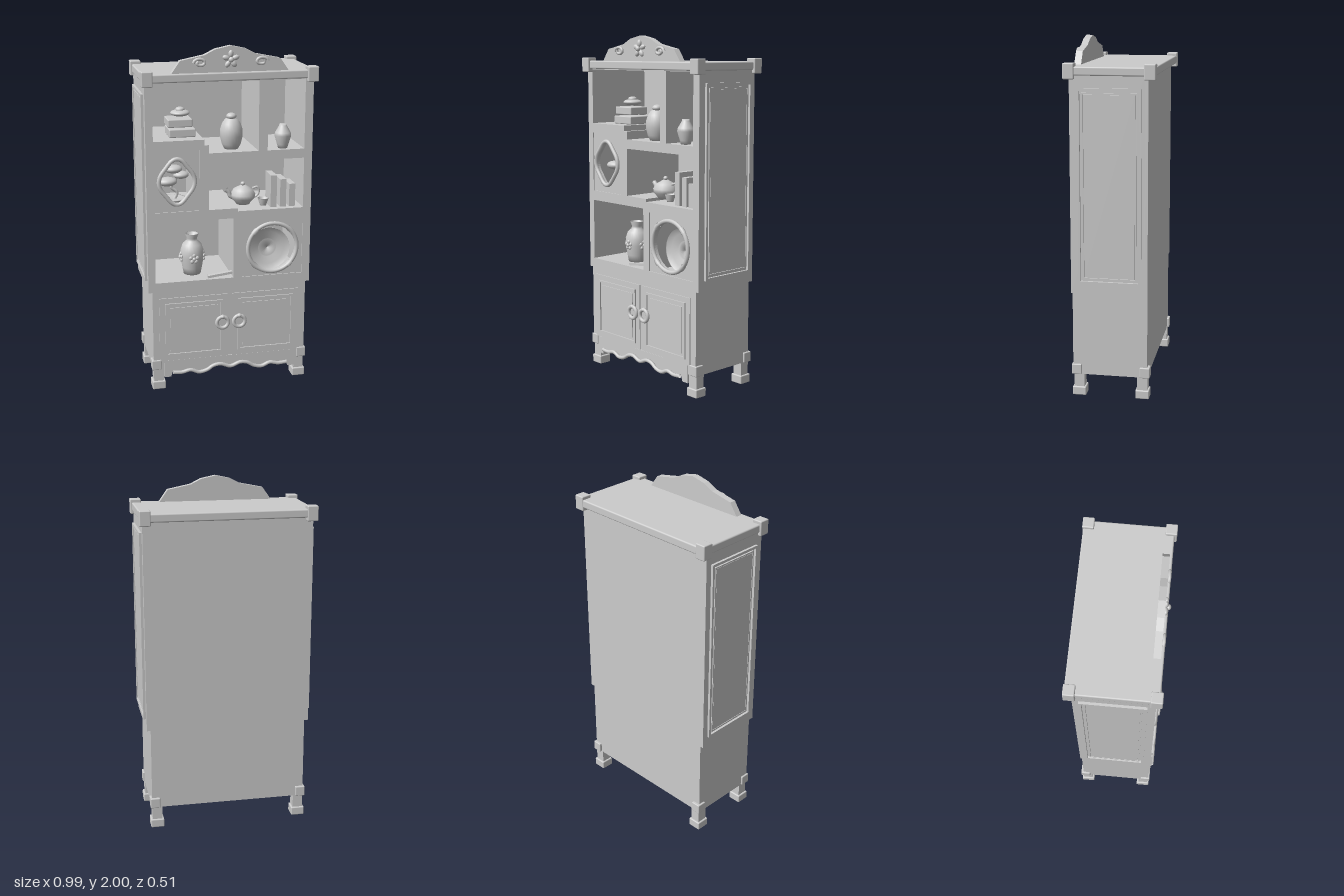
import * as THREE from 'three';
import { RoundedBoxGeometry } from 'three/addons/geometries/RoundedBoxGeometry.js';

export function createModel() {
  const model = new THREE.Group();
  model.name = 'displayCabinet';
  const grey = new THREE.MeshStandardMaterial({ color: 0xcccccc });
  grey.name = 'light grey';

  const add = (name, geometry, x = 0, y = 0, z = 0, parent = model) => {
    const mesh = new THREE.Mesh(geometry, grey);
    mesh.name = name;
    mesh.position.set(x, y, z);
    parent.add(mesh);
    return mesh;
  };
  const group = (name, x, y, z) => {
    const g = new THREE.Group();
    g.name = name;
    g.position.set(x, y, z);
    model.add(g);
    return g;
  };
  // box given by its limits
  const box = (name, x0, x1, y0, y1, z0, z1, r = 0) => add(name,
    r ? new RoundedBoxGeometry(x1 - x0, y1 - y0, z1 - z0, 2, r) : new THREE.BoxGeometry(x1 - x0, y1 - y0, z1 - z0),
    (x0 + x1) / 2, (y0 + y1) / 2, (z0 + z1) / 2);
  const vectors = (pts) => pts.map(([x, y]) => new THREE.Vector2(x, y));
  const rect = (x0, x1, y0, y1) => [[x0, y0], [x1, y0], [x1, y1], [x0, y1]];
  // flat plate cut from an outline with holes
  const plate = (name, outline, holes, z0, z1, parent = model) => {
    const shape = new THREE.Shape(vectors(outline));
    holes.forEach((h) => shape.holes.push(new THREE.Path(vectors(h))));
    return add(name, new THREE.ExtrudeGeometry(shape, { depth: z1 - z0, bevelEnabled: false }), 0, 0, z0, parent);
  };
  const frame = (name, x0, x1, y0, y1, w, z0, z1, parent) =>
    plate(name, rect(x0, x1, y0, y1), [rect(x0 + w, x1 - w, y0 + w, y1 - w)], z0, z1, parent);
  const loop = (n, fn) => Array.from({ length: n }, (_, i) => fn((i / n) * Math.PI * 2));
  const tube = (name, pts, r, closed = false, parent = model, z = 0) => {
    const path = new THREE.CatmullRomCurve3(pts.map((p) => new THREE.Vector3(p[0], p[1], p[2] || 0)), closed);
    return add(name, new THREE.TubeGeometry(path, closed ? 96 : 48, r, 8, closed), 0, 0, z, parent);
  };
  const lathe = (name, profile, x, y, z, parent = model) =>
    add(name, new THREE.LatheGeometry(vectors(profile), 24), x, y, z, parent);
  const blob = (name, x, y, z, rx, ry, rz, parent = model) => {
    const m = add(name, new THREE.SphereGeometry(1, 20, 14), x, y, z, parent);
    m.scale.set(rx, ry, rz);
    return m;
  };
  const mirrored = (pts) => [...pts, ...pts.slice(0, -1).reverse().map(([x, y]) => [-x, y])];

  // upper carcass, with the compartments cut through it
  const compartments = [
    [[-0.435, 1.487], [-0.148, 1.487], [-0.148, 1.455], [-0.122, 1.455], [-0.122, 1.408], [0.163, 1.408], [0.163, 1.805], [-0.435, 1.805]],
    rect(0.215, 0.43, 1.408, 1.805),
    rect(-0.435, -0.177, 1.08, 1.43),
    [[-0.122, 1.08], [0.045, 1.08], [0.045, 1.062], [0.43, 1.062], [0.43, 1.355], [-0.122, 1.355]],
    rect(-0.435, 0.02, 0.663, 1.022),
    rect(0.07, 0.43, 0.663, 1.005),
  ];
  plate('upperCarcass', rect(-0.477, 0.477, 0.607, 1.815), compartments, -0.19, 0.218);
  box('upperBack', -0.477, 0.477, 0.607, 1.815, -0.21, -0.19);

  // top slab and its corner blocks
  box('topSlab', -0.486, 0.486, 1.81, 1.857, -0.246, 0.236, 0.008);
  for (const x of [-0.465, 0.465]) for (const z of [-0.219, 0.219])
    add('topCornerBlock', new RoundedBoxGeometry(0.062, 0.085, 0.062, 2, 0.006), x, 1.833, z);

  // moulded side panels
  for (const s of [-1, 1]) {
    const side = group('sidePanel', s * 0.477, 0, 0);
    side.rotation.y = s * Math.PI / 2;
    frame('sideFrame', -0.175, 0.175, 0.668, 1.745, 0.014, 0, 0.014, side);
    frame('sideInnerFrame', -0.15, 0.15, 0.693, 1.72, 0.008, 0, 0.009, side);
    add('sideField', new THREE.BoxGeometry(0.28, 1.007, 0.008), 0, 1.2065, 0.004, side);
  }

  // lower cupboard with doors and ring handles
  box('lowerCupboard', -0.455, 0.455, 0.125, 0.607, -0.207, 0.215);
  for (const s of [-1, 1]) {
    const [x0, x1] = s < 0 ? [-0.418, -0.012] : [0.012, 0.412];
    box('door', x0, x1, 0.178, 0.567, 0.21, 0.221);
    frame('doorMoulding', x0 + 0.034, x1 - 0.034, 0.21, 0.535, 0.012, 0.221, 0.229);
    box('doorField', x0 + 0.062, x1 - 0.062, 0.238, 0.507, 0.221, 0.226);
    add('handleRing', new THREE.TorusGeometry(0.034, 0.011, 10, 32), s * 0.05, 0.4, 0.243);
    add('handleRose', new THREE.CylinderGeometry(0.023, 0.023, 0.014, 24), s * 0.05, 0.4, 0.227).rotation.x = Math.PI / 2;
    blob('handleKnob', s * 0.05, 0.435, 0.243, 0.014, 0.012, 0.014);
  }

  // legs, feet and lower corner blocks
  for (const x of [-1, 1]) for (const z of [-1, 1]) {
    add('leg', new THREE.BoxGeometry(0.058, 0.09, 0.058), x * 0.425, 0.085, z * 0.18);
    add('foot', new RoundedBoxGeometry(0.078, 0.05, 0.078, 2, 0.006), x * 0.425, 0.025, z * 0.18);
    add('lowerCornerBlock', new RoundedBoxGeometry(0.057, 0.06, 0.057, 2, 0.005), x * 0.437, 0.155, z * 0.194);
  }

  // scalloped apron with a wavy bead
  const wave = mirrored([[-0.345, 0.105], [-0.29, 0.102], [-0.24, 0.112], [-0.19, 0.093], [-0.14, 0.103], [-0.105, 0.125], [-0.06, 0.132], [0, 0.112]]);
  plate('apron', [[-0.395, 0.178], [-0.395, 0.075], [-0.355, 0.075], ...wave, [0.355, 0.075], [0.395, 0.075], [0.395, 0.178]], [], 0.205, 0.222);
  tube('apronBead', wave, 0.011, false, model, 0.231);

  // crest with scrolls and a flower
  plate('crest', mirrored([[-0.328, 1.857], [-0.28, 1.925], [-0.145, 1.952], [-0.085, 1.982], [0, 2]]), [], 0.182, 0.22);
  for (const s of [-1, 1]) {
    const scroll = Array.from({ length: 15 }, (_, i) => {
      const a = i * 0.5, k = 1 - i * 0.045;
      return [s * (0.172 + 0.036 * k * Math.cos(a)), 1.912 + 0.024 * k * Math.sin(a), 0.228];
    });
    tube('crestScroll', scroll, 0.0085);
  }
  for (let i = 0; i < 5; i++) {
    const a = Math.PI / 2 + (i * Math.PI * 2) / 5;
    const petal = blob('crestPetal', 0.028 * Math.cos(a), 1.926 + 0.03 * Math.sin(a), 0.224, 0.021, 0.014, 0.012);
    petal.rotation.z = a;
  }
  blob('crestFlowerCentre', 0, 1.926, 0.236, 0.015, 0.015, 0.013);

  // panel with a lobed window
  const lobed = (k) => loop(64, (a) => {
    const r = 1 + 0.07 * Math.cos(4 * a);
    return [-0.305 + (0.095 + k) * r * Math.cos(a), 1.255 + (0.122 + k) * r * Math.sin(a)];
  });
  plate('lobedPanel', rect(-0.435, -0.177, 1.08, 1.43), [lobed(0)], 0.19, 0.212);
  tube('lobedRim', lobed(0), 0.012, true, model, 0.221);

  // panel with a round window
  const round = loop(64, (a) => [0.25 + 0.142 * Math.cos(a), 0.832 + 0.142 * Math.sin(a)]);
  plate('roundPanel', rect(0.07, 0.43, 0.663, 1.005), [round], 0.19, 0.212);
  add('roundRim', new THREE.TorusGeometry(0.146, 0.012, 10, 64), 0.25, 0.832, 0.222);
  for (let i = 0; i < 4; i++) {
    const a = Math.PI / 4 + i * Math.PI / 2;
    const clasp = add('rimClasp', new THREE.TorusGeometry(0.146, 0.015, 8, 8, 0.22), 0.25, 0.832, 0.222);
    clasp.rotation.z = a - 0.11;
  }

  // standing dish
  const dish = lathe('dish', [[0, 0], [0.053, 0], [0.056, 0.006], [0.1, 0.014], [0.13, 0.03], [0.13, 0.034]].reverse().concat([[0.053, -0.008], [0, -0.008]]), 0.25, 0.795, 0.1);
  dish.rotation.x = Math.PI / 2;
  dish.material = grey.clone();
  dish.material.side = THREE.DoubleSide;

  // potted tree
  const tree = group('pottedTree', -0.305, 1.08, 0.11);
  lathe('pot', [[0, 0], [0.045, 0], [0.065, 0.05], [0.07, 0.055], [0.06, 0.055], [0, 0.05]], 0, 0, 0, tree);
  tube('trunk', [[0, 0.04], [0.018, 0.085], [-0.015, 0.12], [0.01, 0.16], [0, 0.215]], 0.009, false, tree);
  blob('foliage', 0, 0.223, 0, 0.05, 0.024, 0.045, tree);
  blob('foliage', -0.038, 0.155, 0.015, 0.055, 0.026, 0.045, tree);
  blob('foliage', 0.042, 0.187, 0, 0.045, 0.022, 0.04, tree);

  // stacked boxes
  box('lowerBox', -0.33, -0.18, 1.487, 1.534, -0.02, 0.14, 0.006);
  box('upperBox', -0.335, -0.195, 1.541, 1.587, -0.005, 0.125, 0.006);
  blob('boxLid', -0.255, 1.613, 0.06, 0.055, 0.019, 0.055);
  blob('boxKnob', -0.255, 1.633, 0.06, 0.026, 0.014, 0.026);

  // vases
  lathe('lidJar', [[0, 0], [0.04, 0], [0.055, 0.03], [0.065, 0.075], [0.064, 0.11], [0.053, 0.145], [0.035, 0.17], [0.022, 0.173], [0.024, 0.18], [0, 0.182]], 0.028, 1.408, 0.117);
  blob('jarLid', 0.028, 1.593, 0.117, 0.029, 0.019, 0.029);
  lathe('smallVase', [[0, 0], [0.027, 0], [0.033, 0.022], [0.048, 0.072], [0.044, 0.09], [0.022, 0.128], [0.02, 0.138], [0, 0.136]], 0.317, 1.408, 0.165);
  const vase = group('tallVase', -0.197, 0.663, 0.08);
  lathe('vaseBody', [[0, 0], [0.05, 0], [0.058, 0.04], [0.068, 0.1], [0.068, 0.14], [0.055, 0.18], [0.032, 0.2], [0.03, 0.215], [0.04, 0.242], [0.034, 0.242], [0.024, 0.215], [0, 0.21]], 0, 0, 0, vase);
  for (const a of [-1.5, 0, 1.5]) {
    const flower = new THREE.Group();
    flower.name = 'vaseFlower';
    flower.rotation.y = a;
    vase.add(flower);
    blob('flowerCentre', 0, 0.105, 0.071, 0.011, 0.011, 0.01, flower);
    loop(5, (t) => blob('flowerPetal', 0.02 * Math.cos(t + 0.3), 0.105 + 0.02 * Math.sin(t + 0.3), 0.067, 0.011, 0.011, 0.007, flower));
  }

  // folded fan lying by the vase
  const fan = add('foldedFan', new THREE.BoxGeometry(0.145, 0.014, 0.025), -0.054, 0.68, 0.19);
  fan.rotation.z = 0.12;

  // teapot and cup
  const pot = group('teapot', 0.098, 1.07, 0.115);
  lathe('teapotBody', [[0, 0], [0.04, 0], [0.045, 0.01], [0.068, 0.035], [0.072, 0.058], [0.055, 0.086], [0.03, 0.1], [0.016, 0.108], [0, 0.11]], 0, 0.008, 0, pot);
  blob('teapotKnob', 0, 0.126, 0, 0.013, 0.012, 0.013, pot);
  tube('teapotSpout', [[-0.055, 0.045], [-0.075, 0.058], [-0.085, 0.08], [-0.1, 0.097]], 0.013, false, pot);
  tube('teapotHandle', [[0.055, 0.095], [0.085, 0.1], [0.095, 0.075], [0.082, 0.05], [0.06, 0.04]], 0.007, false, pot);
  lathe('cup', [[0, 0], [0.018, 0], [0.02, 0.006], [0.032, 0.042], [0.028, 0.042], [0.016, 0.008], [0, 0.008]], 0.203, 1.078, 0.175);

  // books
  [[0.247, 1.25], [0.303, 1.225], [0.357, 1.195]].forEach(([x, top]) => box('book', x, x + 0.036, 1.062, top, 0.06, 0.18));

  // one shared double-sided material for the thin turned parts
  grey.side = THREE.DoubleSide;
  dish.material = grey;
  return model;
}
